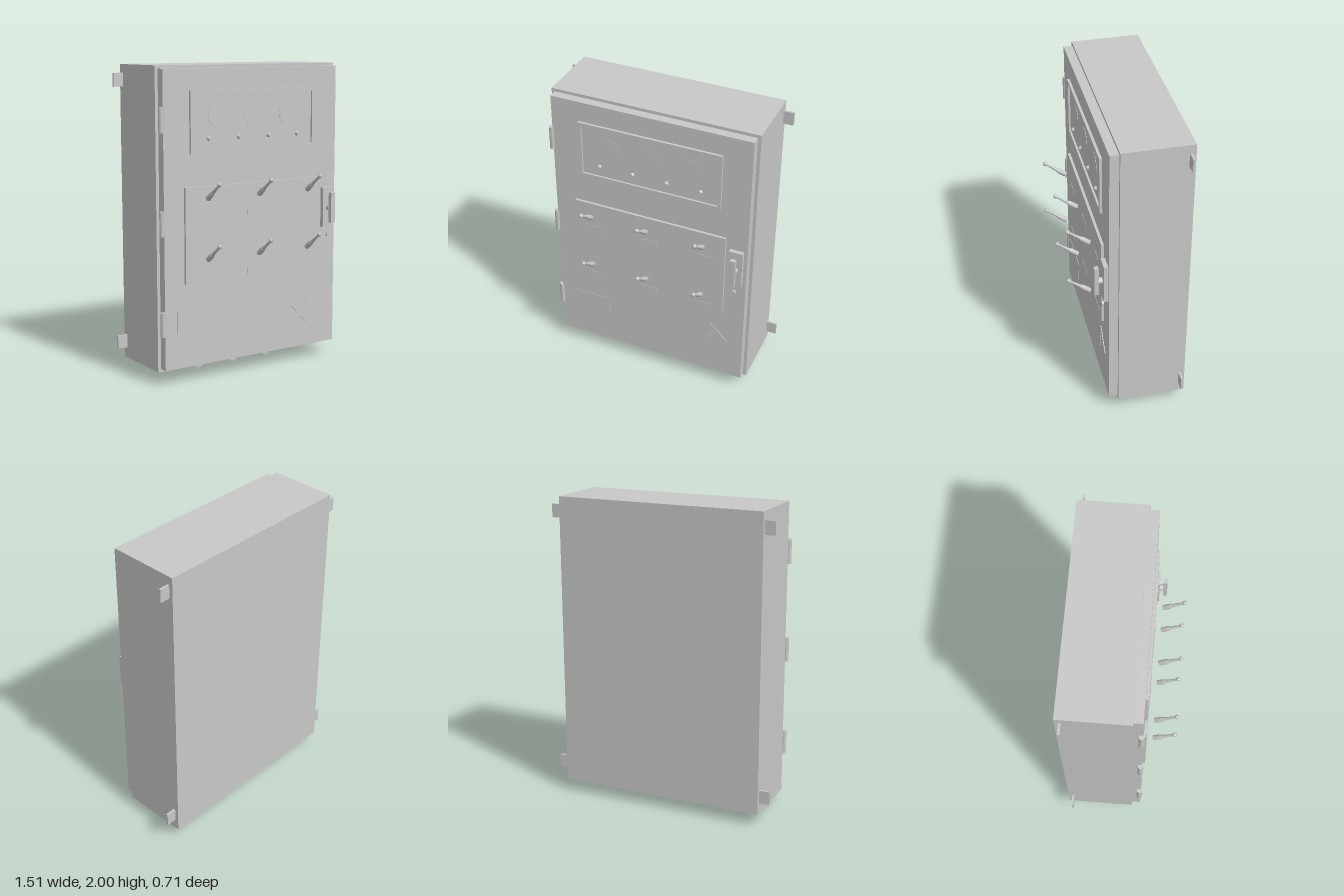
import * as THREE from 'three';

export function createModel() {
  const group = new THREE.Group();
  const grey = new THREE.MeshStandardMaterial({ color: 0xc8c8c8 });
  grey.name = 'cabinet grey';

  const add = (name, geometry) => {
    const mesh = new THREE.Mesh(geometry, grey);
    mesh.name = name;
    group.add(mesh);
    return mesh;
  };
  // Box given by its limits on each axis
  const box = (name, x0, x1, y0, y1, z0, z1) => {
    const mesh = add(name, new THREE.BoxGeometry(x1 - x0, y1 - y0, z1 - z0));
    mesh.position.set((x0 + x1) / 2, (y0 + y1) / 2, (z0 + z1) / 2);
    return mesh;
  };
  // Cylinder lying along z, with an optional smaller front radius
  const disc = (name, x, y, r, z0, z1, sides = 16, frontRadius = r) => {
    const g = new THREE.CylinderGeometry(frontRadius, r, z1 - z0, sides).rotateX(Math.PI / 2);
    const mesh = add(name, g);
    mesh.position.set(x, y, (z0 + z1) / 2);
    return mesh;
  };

  // Cabinet and door
  box('cabinetBody', -0.687, 0.687, 0.08, 2, -0.356, 0.087);
  box('door', -0.666, 0.666, 0.1, 1.98, 0.087, 0.145);

  // Wall brackets
  for (const s of [-1, 1]) {
    for (const y of [0.193, 1.902]) {
      const bracket = add('wallBracket', new THREE.BoxGeometry(0.08, 0.087, 0.014));
      bracket.position.set(s * 0.715, y, -0.324);
    }
  }

  // Hinges
  for (const y of [0.398, 1.033, 1.673]) {
    const hinge = add('hinge', new THREE.CylinderGeometry(0.018, 0.018, 0.157, 12));
    hinge.position.set(-0.675, y, 0.138);
  }

  // Gauge window: raised frame around a recessed panel
  const frame = new THREE.Shape([
    new THREE.Vector2(-0.48, 1.456), new THREE.Vector2(0.48, 1.456),
    new THREE.Vector2(0.48, 1.845), new THREE.Vector2(-0.48, 1.845)]);
  frame.holes.push(new THREE.Path([
    new THREE.Vector2(-0.457, 1.478), new THREE.Vector2(-0.457, 1.822),
    new THREE.Vector2(0.457, 1.822), new THREE.Vector2(0.457, 1.478)]));
  add('gaugeFrame', new THREE.ExtrudeGeometry(frame, { depth: 0.018, bevelEnabled: false }))
    .position.z = 0.144;
  box('gaugePanel', -0.457, 0.457, 1.478, 1.822, 0.144, 0.149);
  for (const x of [-0.272, 0, 0.272]) disc('gauge', x, 1.685, 0.075, 0.148, 0.151, 24);
  for (const x of [-0.342, -0.115, 0.115, 0.342]) {
    disc('indicatorLamp', x, 1.547, 0.016, 0.148, 0.165, 16, 0.01);
  }

  // Switch panel
  box('switchPanel', -0.522, 0.522, 0.637, 1.25, 0.144, 0.162);

  // Levers: grip, tapered shaft and ball turned as one profile
  const profile = [[0, 0], [0.017, 0], [0.017, 0], [0.017, 0.052], [0.014, 0.066], [0.011, 0.07],
    [0.007, 0.152], [0.012, 0.157], [0.015, 0.168], [0.01, 0.179], [0, 0.183]]
    .map(p => new THREE.Vector2(...p));
  const leverGeometry = new THREE.LatheGeometry(profile, 12);
  for (const y of [0.793, 1.178]) {
    for (const x of [-0.387, 0, 0.387]) {
      const lever = add('switchLever', leverGeometry);
      lever.position.set(x, y, 0.209);
      lever.rotation.x = 0.92;
      box('switchLabel', x - 0.06, x + 0.06, y - 0.135, y - 0.1, 0.161, 0.164);
    }
  }

  // Door latch and lock
  box('latchPlate', 0.55, 0.643, 0.902, 1.172, 0.144, 0.173);
  disc('latchStem', 0.596, 1.037, 0.022, 0.17, 0.2);
  box('latchHandle', 0.579, 0.612, 0.938, 1.14, 0.197, 0.224);
  disc('lock', 0.596, 0.853, 0.016, 0.164, 0.178);

  // Data plate and diamond warning sign
  box('dataPlate', -0.58, -0.3, 0.315, 0.47, 0.144, 0.148);
  const sign = box('warningSign', -0.091, 0.091, -0.091, 0.091, 0.144, 0.149);
  sign.position.x = 0.433;
  sign.position.y = 0.39;
  sign.rotation.z = Math.PI / 4;
  box('warningMark', 0.423, 0.441, 0.35, 0.43, 0.148, 0.153);

  // Cable glands underneath
  for (const x of [-0.273, 0, 0.273]) {
    const gland = add('cableGland', new THREE.CylinderGeometry(0.039, 0.039, 0.08, 12));
    gland.position.set(x, 0.04, -0.13);
    const flange = add('glandFlange', new THREE.CylinderGeometry(0.047, 0.047, 0.008, 16));
    flange.position.set(x, 0.077, -0.13);
  }

  return group;
}
